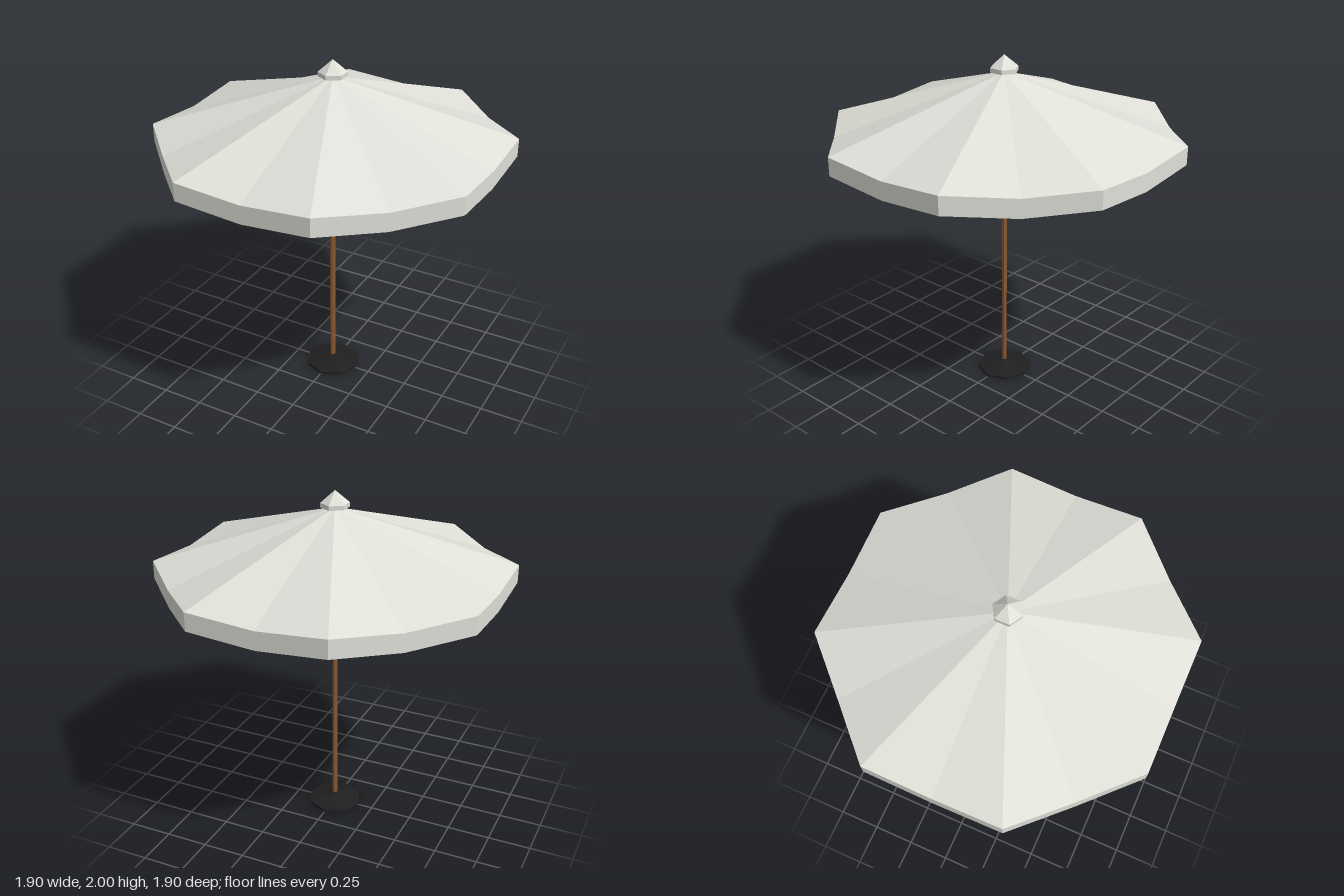
import * as THREE from 'three';

const mat = (name, color, extra = {}) => {
  const m = new THREE.MeshStandardMaterial({ color, flatShading: true, ...extra });
  m.name = name;
  return m;
};

export function createModel() {
  const fabric = mat('canvas', 0xe0e0d9, { side: THREE.DoubleSide });
  const wood = mat('wood', 0x8a5a34);
  const iron = mat('iron', 0x1f1f1f);
  const model = new THREE.Group();
  model.name = 'parasol';

  const add = (name, geometry, material, y = 0, parent = model) => {
    const mesh = new THREE.Mesh(geometry, material);
    mesh.name = name;
    mesh.position.y = y;
    parent.add(mesh);
    return mesh;
  };

  // Canopy rim: eight high corners with sagging edge midpoints between them
  const R = 1.028, APEX = 1.905, CORNER_Y = 1.58, SAG = 0.03, DROP = 0.105;
  const apex = new THREE.Vector3(0, APEX, 0);
  const rim = [];
  for (let i = 0; i < 16; i++) {
    const a = (i + 1) * Math.PI / 8;
    const mid = i % 2 === 1;
    const r = mid ? R * Math.cos(Math.PI / 8) : R;
    rim.push(new THREE.Vector3(Math.sin(a) * r, CORNER_Y - (mid ? SAG : 0), Math.cos(a) * r));
  }

  // Roof panels and hanging valance
  const roof = [], valance = [];
  rim.forEach((p, i) => {
    const q = rim[(i + 1) % 16];
    const pd = p.clone().setY(p.y - DROP), qd = q.clone().setY(q.y - DROP);
    roof.push(apex, p, q);
    valance.push(p, pd, qd, p, qd, q);
  });
  const surface = (points) => {
    const g = new THREE.BufferGeometry().setFromPoints(points);
    g.computeVertexNormals();
    return g;
  };
  add('canopy', surface(roof), fabric);
  add('valance', surface(valance), fabric);

  // Ribs running under the canopy from the hub to each corner
  const ribs = new THREE.Group();
  ribs.name = 'ribs';
  model.add(ribs);
  const slope = Math.atan2(APEX - CORNER_Y, R);
  const length = Math.hypot(APEX - CORNER_Y, R) - 0.015;
  for (let i = 0; i < 8; i++) {
    const g = new THREE.BoxGeometry(0.015, 0.015, length);
    g.translate(0, -0.011, length / 2);
    g.rotateX(slope);
    g.rotateY((i + 0.5) * Math.PI / 4);
    add('rib', g, wood, APEX, ribs);
  }

  // Pole with sliding collar
  add('pole', new THREE.CylinderGeometry(0.016, 0.016, 1.89, 6), wood, 0.945);
  add('collar', new THREE.CylinderGeometry(0.029, 0.029, 0.065, 6), wood, 1.342);

  // Pointed cap on top
  add('cap', new THREE.CylinderGeometry(0.082, 0.082, 0.025, 6), fabric, 1.9175);
  add('capPoint', new THREE.ConeGeometry(0.082, 0.07, 6, 1, true), fabric, 1.965);

  // Octagonal foot
  const foot = [[0, 0.002], [0.163, 0.002], [0.163, 0.018], [0.04, 0.046], [0.025, 0.057], [0, 0.057]];
  add('foot', new THREE.LatheGeometry(foot.map(([x, y]) => new THREE.Vector2(x, y)), 8), iron);

  return model;
}
